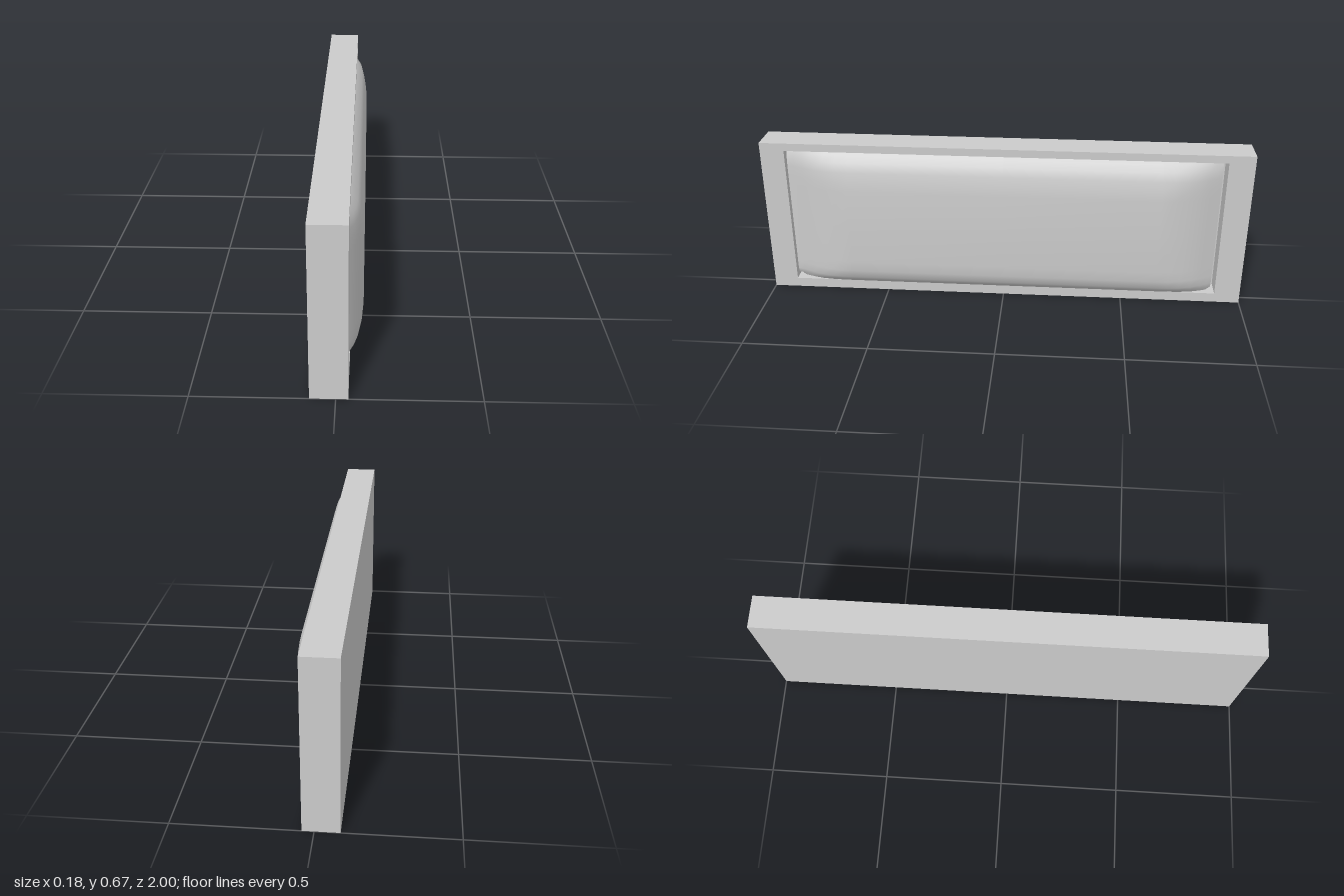
import * as THREE from 'three';
import { toCreasedNormals } from 'three/addons/utils/BufferGeometryUtils.js';

const material = new THREE.MeshStandardMaterial({ color: 0xcccccc });
const BACK = -0.09, FACE = 0.043, FLOOR = -0.04, CROWN = 0.09;
const HEIGHT = 0.667;
const OPEN = { z0: -0.895, z1: 0.9, y0: 0.04, y1: 0.635 };

function addMesh(group, name, geometry) {
  const mesh = new THREE.Mesh(geometry, material);
  mesh.name = name;
  group.add(mesh);
}

// Rectangular ring, extruded across the thickness
function frameGeometry() {
  const shape = new THREE.Shape([[-1, 0], [1, 0], [1, HEIGHT], [-1, HEIGHT]].map(p => new THREE.Vector2(...p)));
  const { z0, z1, y0, y1 } = OPEN;
  shape.holes.push(new THREE.Path([[-z1, y0], [-z1, y1], [-z0, y1], [-z0, y0]].map(p => new THREE.Vector2(...p))));
  return new THREE.ExtrudeGeometry(shape, { depth: FACE - BACK, bevelEnabled: false })
    .rotateY(Math.PI / 2).translate(BACK, 0, 0);
}

// Padded panel: each [position, drop] pair says how far the surface falls below the crown there
function cushionGeometry() {
  const across = [
    [-0.9, 0.075], [-0.87, 0.065], [-0.83, 0.047], [-0.79, 0.029], [-0.74, 0.015], [-0.69, 0.005], [-0.64, 0],
    [0, 0], [0.64, 0], [0.69, 0.005], [0.74, 0.015], [0.79, 0.029], [0.83, 0.047], [0.86, 0.062], [0.88, 0.072]];
  const up = [
    [0.04, 0.047], [0.056, 0.03], [0.075, 0.013], [0.11, 0.004], [0.155, 0], [0.32, 0], [0.48, 0],
    [0.52, 0.004], [0.56, 0.012], [0.598, 0.023], [0.623, 0.046], [0.634, 0.055]];
  const nx = across.length, ny = up.length;
  // One extra ring all round forms the skirt down to the recess floor
  const geo = new THREE.PlaneGeometry(1, 1, nx + 1, ny + 1);
  const pos = geo.attributes.position;
  for (let row = 0; row < ny + 2; row++) {
    for (let col = 0; col < nx + 2; col++) {
      const i = THREE.MathUtils.clamp(col - 1, 0, nx - 1);
      const j = THREE.MathUtils.clamp(ny - row, 0, ny - 1);
      let [u, dropU] = across[i];
      let [y, dropY] = up[j];
      const skirt = col === 0 || col === nx + 1 || row === 0 || row === ny + 1;
      // Clip the four corners slightly
      if ((i === 0 || i === nx - 1) && (j === 0 || j === ny - 1)) {
        u -= Math.sign(u) * 0.012;
        y += j === 0 ? 0.008 : -0.008;
      }
      const x = skirt ? FLOOR : CROWN - Math.hypot(dropU, dropY);
      pos.setXYZ(row * (nx + 2) + col, x, y, -u);
    }
  }
  return toCreasedNormals(geo, 0.75);
}

export function createModel() {
  const group = new THREE.Group();
  group.name = 'paddedPanel';
  addMesh(group, 'frame', frameGeometry());
  // Back board closing the opening
  addMesh(group, 'backBoard', new THREE.BoxGeometry(FLOOR - BACK, OPEN.y1 - OPEN.y0, OPEN.z1 - OPEN.z0)
    .translate((FLOOR + BACK) / 2, (OPEN.y0 + OPEN.y1) / 2, (OPEN.z0 + OPEN.z1) / 2));
  addMesh(group, 'cushion', cushionGeometry());
  return group;
}
